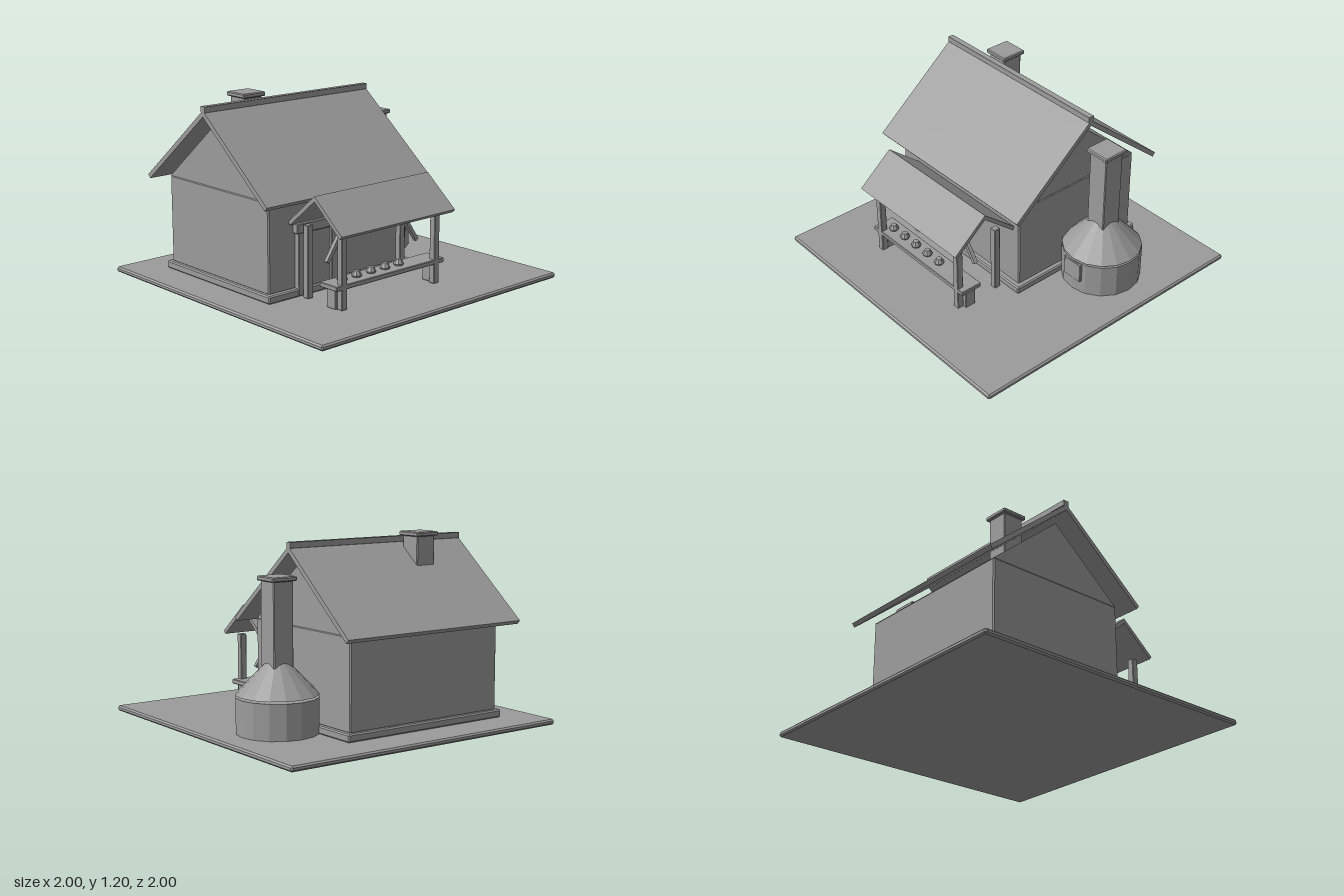
import * as THREE from 'three';
import { ConvexGeometry } from 'three/addons/geometries/ConvexGeometry.js';

export function createModel() {
  const root = new THREE.Group();
  root.name = 'bakery';
  const stone = new THREE.MeshStandardMaterial({ color: 0x9c9c9c, flatShading: true });
  stone.name = 'plain grey';

  function add(name, geometry, parent = root) {
    const mesh = new THREE.Mesh(geometry, stone);
    mesh.name = name;
    parent.add(mesh);
    return mesh;
  }

  function group(name) {
    const g = new THREE.Group();
    g.name = name;
    root.add(g);
    return g;
  }

  // Box between two limits on each axis, with chamfered edges
  function block(name, [x0, x1], [y0, y1], [z0, z1], bevel = 0.004, parent = root) {
    const w = (x1 - x0) / 2, h = (y1 - y0) / 2, d = (z1 - z0) / 2, b = bevel;
    const points = [];
    for (const sx of [-1, 1]) for (const sy of [-1, 1]) for (const sz of [-1, 1]) {
      points.push(
        new THREE.Vector3(sx * w, sy * (h - b), sz * (d - b)),
        new THREE.Vector3(sx * (w - b), sy * h, sz * (d - b)),
        new THREE.Vector3(sx * (w - b), sy * (h - b), sz * d));
    }
    const mesh = add(name, new ConvexGeometry(points), parent);
    mesh.position.set((x0 + x1) / 2, (y0 + y1) / 2, (z0 + z1) / 2);
    return mesh;
  }

  // Profile symmetric in z, extruded along x
  function prism(name, profile, x0, x1, zMid) {
    const shape = new THREE.Shape(profile.map(([z, y]) => new THREE.Vector2(z, y)));
    const geometry = new THREE.ExtrudeGeometry(shape, { depth: x1 - x0, bevelEnabled: false });
    geometry.rotateY(Math.PI / 2);
    add(name, geometry).position.set(x0, 0, zMid);
  }

  // Pair of sloping roof slabs with square-cut eaves
  function roof(name, x0, x1, zMid, half, eaveY, ridgeY, thick) {
    const a = Math.atan2(ridgeY - eaveY, half);
    const zi = half - thick * Math.sin(a), yi = eaveY - thick * Math.cos(a);
    prism(name, [[-half, eaveY], [-zi, yi], [0, ridgeY - thick / Math.cos(a)],
      [zi, yi], [half, eaveY], [0, ridgeY]], x0, x1, zMid);
  }

  // Ground and house
  block('ground', [-1, 1], [0, 0.035], [-1, 1], 0.01);
  block('plinth', [-0.77, 0.43], [0.035, 0.085], [-0.757, 0.275], 0.008);
  block('walls', [-0.745, 0.4], [0.08, 0.65], [-0.73, 0.243], 0.008);
  prism('gable', [[-0.485, 0.648], [0.485, 0.648], [0, 1.053]], -0.742, 0.397, -0.243);
  roof('mainRoof', -0.84, 0.495, -0.245, 0.592, 0.652, 1.14, 0.03);
  block('ridgeCap', [-0.84, 0.495], [1.128, 1.165], [-0.265, -0.226], 0.001);

  // Door and frame
  block('door', [-0.5, -0.265], [0.083, 0.43], [0.235, 0.26]);
  for (const x of [-0.515, -0.248]) {
    block('doorJamb', [x - 0.026, x + 0.026], [0.04, 0.435], [0.235, 0.28]);
  }
  block('doorLintel', [-0.555, -0.21], [0.43, 0.49], [0.235, 0.285]);

  // Chimneys
  function chimney(name, x, z, y0, y1) {
    const g = group(name);
    block('stack', [x - 0.07, x + 0.07], [y0, y1], [z - 0.07, z + 0.07], 0.005, g);
    block('cap', [x - 0.087, x + 0.087], [y1 - 0.003, y1 + 0.025], [z - 0.087, z + 0.087], 0.006, g);
  }
  chimney('houseChimney', -0.418, -0.358, 0.85, 1.172);
  chimney('ovenChimney', 0.6, -0.28, 0.3, 0.949);

  // Round oven
  const oven = group('oven');
  const body = add('ovenBody', new THREE.CylinderGeometry(0.253, 0.253, 0.22, 16), oven);
  body.position.set(0.6, 0.147, -0.28);
  const dome = add('ovenHood', new THREE.ConeGeometry(0.253, 0.265, 16), oven);
  dome.position.set(0.6, 0.4025, -0.28);
  block('ovenDoor', [0.53, 0.67], [0.12, 0.25], [-0.06, -0.023], 0.003, oven);

  // Porch roof, posts and braces
  roof('porchRoof', -0.59, 0.355, 0.475, 0.235, 0.507, 0.704, 0.025);
  for (const side of [-1, 1]) {
    for (const z of [0.623, 0.324]) {
      const x = -0.118 + side * 0.388;
      block('porchPost', [x - 0.022, x + 0.022], [0.035, 0.49], [z - 0.022, z + 0.022]);
    }
    const brace = add('porchBrace', new THREE.BoxGeometry(0.025, 0.255, 0.025));
    brace.position.set(-0.118 + side * 0.303, 0.392, 0.475);
    brace.rotation.z = side * 0.6;
  }

  // Sales bench with loaves
  block('benchTop', [-0.57, 0.335], [0.16, 0.19], [0.495, 0.645]);
  for (const x of [-0.515, 0.291]) {
    block('benchLeg', [x - 0.026, x + 0.026], [0.035, 0.163], [0.527, 0.603]);
  }
  const loafProfile = [[0, 0], [0.027, 0], [0.033, 0.012], [0.018, 0.04], [0, 0.042]]
    .map(([r, y]) => new THREE.Vector2(r, y));
  const loafGeometry = new THREE.LatheGeometry(loafProfile, 8);
  for (let i = 0; i < 5; i++) {
    add('loaf', loafGeometry).position.set(-0.455 + i * 0.117, 0.189, 0.568);
  }

  return root;
}
